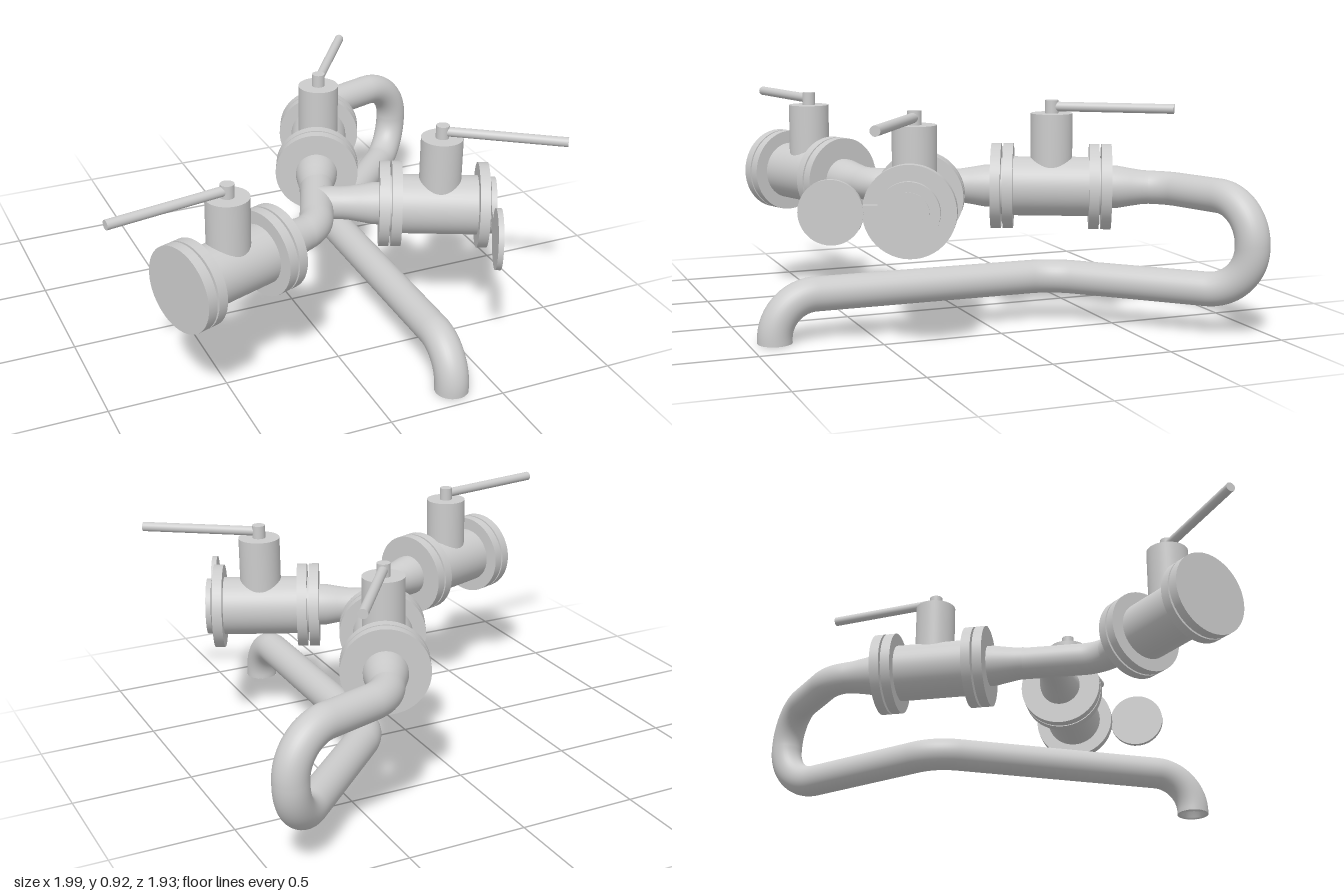
import * as THREE from 'three';

const mat = new THREE.MeshStandardMaterial({ color: 0xcccccc });
const openMat = new THREE.MeshStandardMaterial({ color: 0xcccccc, side: THREE.DoubleSide });
const AXIS_Y = 0.555, PIPE_R = 0.07;
const rad = THREE.MathUtils.degToRad;
const v = (x, y, z) => new THREE.Vector3(x, y, z);

function add(parent, name, geometry, material = mat) {
  const mesh = new THREE.Mesh(geometry, material);
  mesh.name = name;
  parent.add(mesh);
  return mesh;
}

// Cylinder lying along local x
function rodX(parent, name, r, length, x, y = 0, z = 0) {
  const g = new THREE.CylinderGeometry(r, r, length, 48).rotateZ(-Math.PI / 2);
  const mesh = add(parent, name, g);
  mesh.position.set(x, y, z);
  return mesh;
}

// Polyline whose corners are replaced by circular-looking bends
function bentPath(points, radii) {
  const path = new THREE.CurvePath();
  let from = points[0];
  for (let i = 1; i < points.length - 1; i++) {
    const p = points[i];
    const a = points[i - 1].clone().sub(p).normalize();
    const b = points[i + 1].clone().sub(p).normalize();
    const turn = Math.PI - a.angleTo(b);
    const r = radii[i - 1];
    const cut = r * Math.tan(turn / 2);
    const k = cut - (4 / 3) * Math.tan(turn / 4) * r;
    const start = p.clone().addScaledVector(a, cut);
    const end = p.clone().addScaledVector(b, cut);
    path.add(new THREE.LineCurve3(from, start));
    path.add(new THREE.CubicBezierCurve3(start,
      p.clone().addScaledVector(a, k), p.clone().addScaledVector(b, k), end));
    from = end;
  }
  path.add(new THREE.LineCurve3(from, points[points.length - 1]));
  return path;
}

function pipe(parent, name, points, radii, segments) {
  add(parent, name, new THREE.TubeGeometry(bentPath(points, radii), segments, PIPE_R, 32), openMat);
}

// Valve with its outward end along local +x; reducerSide is the end that meets a pipe
function valve(name, x, z, angle, reducerSides, blind) {
  const g = new THREE.Group();
  g.name = name;
  g.position.set(x, AXIS_Y, z);
  g.rotation.y = rad(angle);

  rodX(g, 'valveBody', 0.125, 0.4, 0);
  for (const s of [-1, 1]) {
    rodX(g, 'innerFlange', 0.18, 0.042, s * 0.18);
    if (s > 0 && blind) continue;
    rodX(g, 'flangeGasket', 0.12, 0.02, s * 0.205);
    rodX(g, 'outerFlange', 0.18, 0.042, s * 0.231);
  }

  // Smooth reducers down to the pipe size
  for (const s of reducerSides) {
    const profile = [[0.09, 0.24], [0.089, 0.28], [0.08, 0.33], [0.072, 0.38], [0.07, 0.41]]
      .map(([r, h]) => new THREE.Vector2(r, h));
    const reducer = add(g, 'reducer', new THREE.LatheGeometry(profile, 40), openMat);
    reducer.rotation.z = -s * Math.PI / 2;
  }

  // Bonnet, spindle and lever
  add(g, 'bonnet', new THREE.CylinderGeometry(0.088, 0.088, 0.31, 40)).position.y = 0.155;
  add(g, 'spindle', new THREE.CylinderGeometry(0.028, 0.028, 0.07, 24)).position.y = 0.33;
  const lever = new THREE.Group();
  lever.name = 'lever';
  lever.rotation.y = rad(-10);
  g.add(lever);
  rodX(lever, 'leverRod', 0.02, 0.51, 0.255, 0.338);

  // Figure-eight blind plate: one disc on the flange, one hanging beside it
  if (blind) {
    rodX(g, 'blindHub', 0.08, 0.034, 0.218);
    rodX(g, 'blindSeat', 0.12, 0.022, 0.222);
    rodX(g, 'blindDisc', 0.125, 0.022, 0.222, 0, 0.295);
    add(g, 'blindBridge', new THREE.BoxGeometry(0.02, 0.06, 0.12)).position.set(0.222, 0, 0.15);
  }
  return g;
}

export function createModel() {
  const model = new THREE.Group();
  model.name = 'valveManifold';

  model.add(valve('rightValve', -0.487, 0.525, 200, [-1], false));
  model.add(valve('rearValve', 0.264, -0.323, 65, [-1, 1], false));
  model.add(valve('leftValve', 0.513, 0.374, -25, [-1], true));

  // Main run between the right and rear valves, and the branch to the left valve
  pipe(model, 'mainPipe', [
    v(-0.26, AXIS_Y, 0.443), v(-0.045, AXIS_Y, 0.365), v(0.16, AXIS_Y, -0.1),
  ], [0.2], 60);
  pipe(model, 'branchPipe', [v(0.28, AXIS_Y, 0.266), v(0.045, AXIS_Y, 0.157)], [], 8);

  // Outlet: out of the rear valve, down a U-bend, forward and down the spout
  const low = 0.185;
  pipe(model, 'outletPipe', [
    v(0.365, AXIS_Y, -0.54), v(0.463, AXIS_Y, -0.752), v(0.925, AXIS_Y, -0.9),
    v(0.925, low, -0.9), v(0.322, low, -0.3), v(0.322, low, 0.895), v(0.322, 0, 0.895),
  ], [0.2, 0.18, 0.18, 0.25, 0.17], 300);

  // Bore of the spout mouth
  const mouth = [[PIPE_R, 0], [0.042, 0], [0.042, 0.06], [0, 0.06]]
    .map(([r, y]) => new THREE.Vector2(r, y));
  add(model, 'spoutMouth', new THREE.LatheGeometry(mouth, 32), openMat).position.set(0.322, 0.001, 0.895);

  return model;
}
